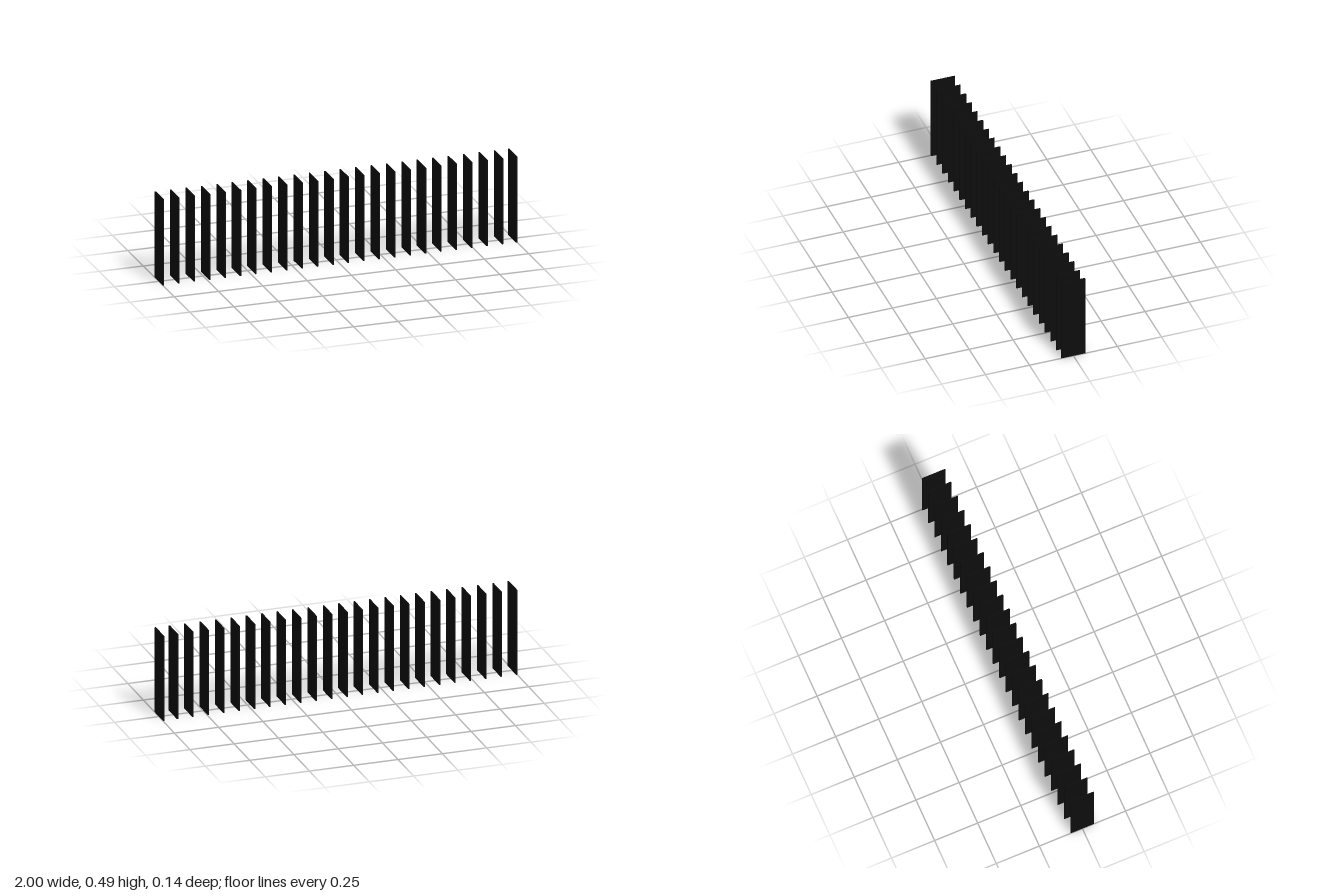
import * as THREE from 'three';

export function createModel() {
  const model = new THREE.Group();
  model.name = 'slatScreen';

  const height = 0.487, depth = 0.135, thickness = 0.007;
  const pitch = 0.087, count = 24;
  const end = 1 - thickness / 2;

  const geometry = new THREE.BoxGeometry(thickness, height, depth);
  const material = new THREE.MeshStandardMaterial({ color: 0x0d0d0d });

  // Evenly pitched upright slats; the last one closes the run at a shorter gap
  for (let i = 0; i < count; i++) {
    const slat = new THREE.Mesh(geometry, material);
    slat.name = `slat${i + 1}`;
    slat.position.set(Math.min(-end + i * pitch, end), height / 2, 0);
    model.add(slat);
  }
  return model;
}
